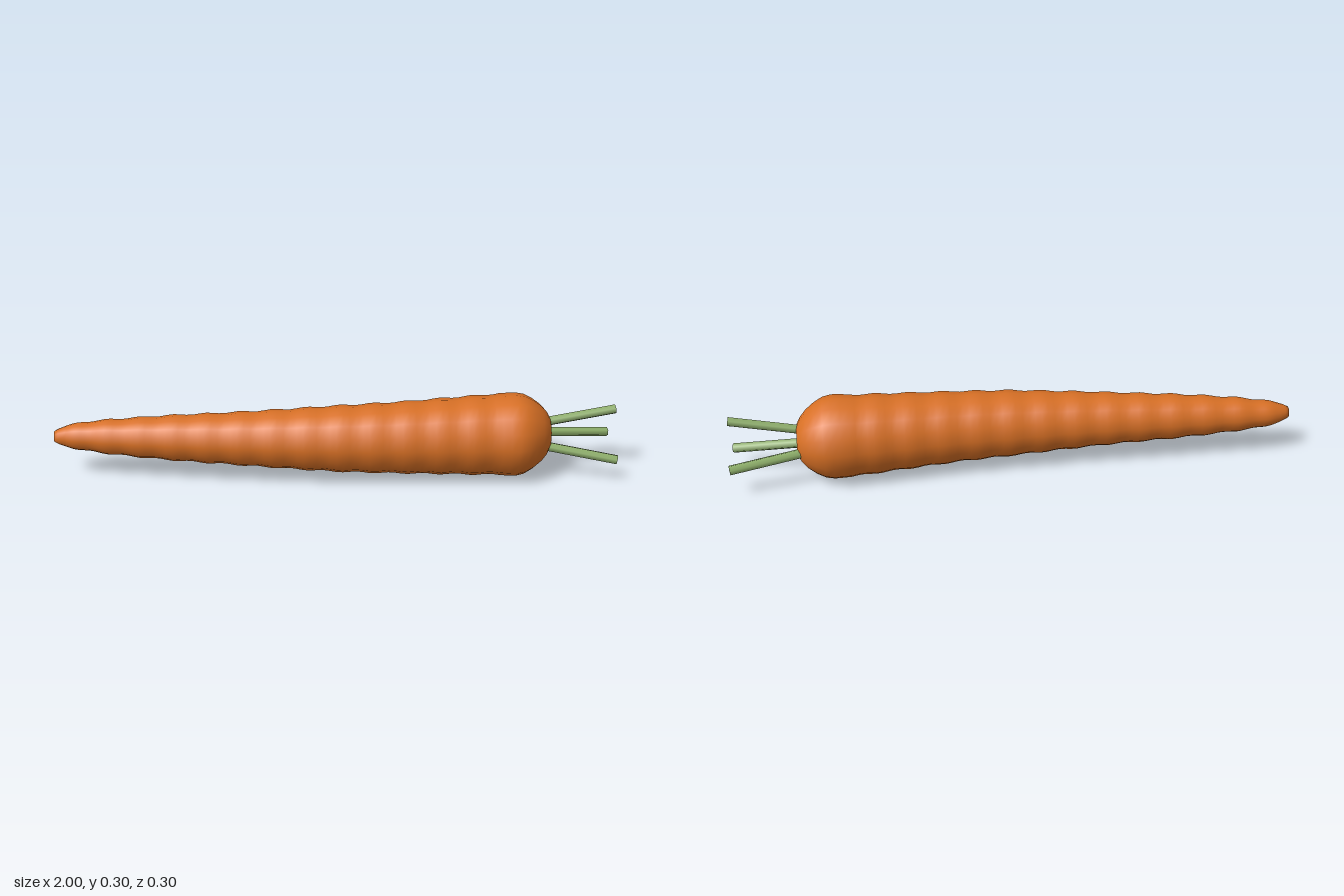
import * as THREE from 'three';
import { mergeVertices } from 'three/addons/utils/BufferGeometryUtils.js';

const orange = new THREE.MeshStandardMaterial({ color: 0xd87025 });
orange.name = 'carrot orange';
const green = new THREE.MeshStandardMaterial({ color: 0x8fb06b });
green.name = 'stem green';

const AXIS_Y = 0.151;

// Root: a ringed, tapering lathe laid along x, its axis bowed sideways in z
function createRoot() {
  // x along the root, radius, sideways offset of the axis
  const taper = [
    [-0.96, 0.037, -0.013], [-0.9, 0.05, -0.012], [-0.8, 0.062, -0.006],
    [-0.6, 0.079, 0.005], [-0.4, 0.091, 0.015], [-0.2, 0.104, 0.022], [0, 0.117, 0.025],
    [0.2, 0.126, 0.021], [0.4, 0.136, 0.01], [0.58, 0.145, -0.001],
  ].map((p) => new THREE.Vector3(...p));
  const rings = new THREE.CatmullRomCurve3(taper).getPoints(78).map((p) => {
    p.y += 0.0025 * Math.sin(((p.x + 0.96) / 0.118) * Math.PI * 2);
    return p;
  });
  // Blunt tip, rounded shoulder and the dimple the stems grow from
  const tip = [[-1, 0, -0.012], [-1, 0.02, -0.012], [-0.985, 0.028, -0.012]];
  const crown = [
    [0.61, 0.148, 0], [0.64, 0.149, 0], [0.67, 0.143, -0.002], [0.7, 0.127, -0.005],
    [0.73, 0.104, -0.008], [0.75, 0.081, -0.01], [0.763, 0.057, -0.012],
    [0.763, 0.044, -0.013], [0.75, 0.035, -0.014], [0.744, 0.02, -0.014], [0.742, 0, -0.014],
  ];
  const vec = (p) => new THREE.Vector3(...p);
  const profile = [...tip.map(vec), ...rings, ...crown.map(vec)];

  const lathe = new THREE.LatheGeometry(profile.map((p) => new THREE.Vector2(p.y, p.x)), 16);
  lathe.rotateZ(-Math.PI / 2);
  const pos = lathe.attributes.position;
  for (let i = 0; i < pos.count; i++) {
    pos.setZ(i, pos.getZ(i) + profile[i % profile.length].z);
  }
  lathe.deleteAttribute('uv');
  lathe.deleteAttribute('normal');
  const geometry = mergeVertices(lathe, 1e-5);
  geometry.computeVertexNormals();
  const root = new THREE.Mesh(geometry, orange);
  root.position.y = AXIS_Y;
  root.name = 'root';
  return root;
}

// Stem: six-sided rod between two points
function createStem(from, to) {
  const a = new THREE.Vector3(...from);
  const b = new THREE.Vector3(...to);
  const dir = b.clone().sub(a);
  const geometry = new THREE.CylinderGeometry(0.0175, 0.0175, dir.length(), 6);
  geometry.rotateY(Math.PI / 6);
  const stem = new THREE.Mesh(geometry, green);
  stem.position.copy(a).add(b).multiplyScalar(0.5);
  stem.quaternion.setFromUnitVectors(new THREE.Vector3(0, 1, 0), dir.normalize());
  return stem;
}

export function createModel() {
  const model = new THREE.Group();
  model.name = 'carrot';
  model.add(createRoot());

  const stems = new THREE.Group();
  stems.name = 'stems';
  const ends = [
    ['topStem', [0.71, 0.186, -0.013], [0.995, 0.241, -0.013]],
    ['backStem', [0.71, 0.133, -0.059], [0.995, 0.105, -0.115]],
    ['frontStem', [0.71, 0.122, 0.023], [0.995, 0.084, 0.079]],
  ];
  for (const [name, from, to] of ends) {
    const stem = createStem(from, to);
    stem.name = name;
    stems.add(stem);
  }
  model.add(stems);
  return model;
}
